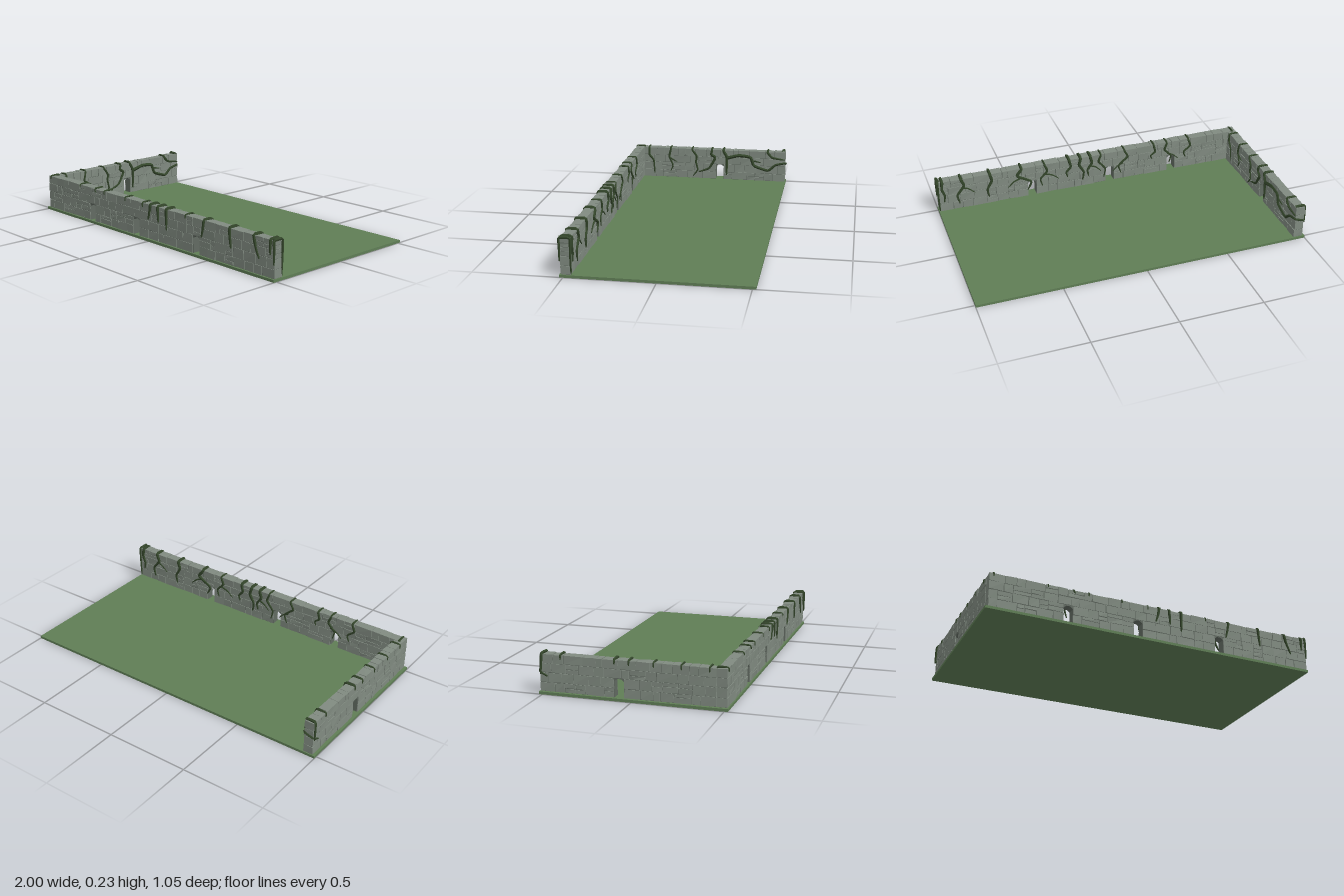
import * as THREE from 'three';
import { mergeGeometries } from 'three/addons/utils/BufferGeometryUtils.js';

const BASE = 0.015, TOP = 0.22, HALF = 0.028, DOOR = 0.027;
const ROWS = [BASE, 0.066, 0.12, 0.17, TOP];

let seed = 7;
const rand = () => (seed = (seed * 16807) % 2147483647) / 2147483647;
const spread = (a) => (rand() - 0.5) * 2 * a;

const material = (color) =>
  new THREE.MeshStandardMaterial({ color, flatShading: true, roughness: 0.9, side: THREE.DoubleSide });
const stone = material(0x808a80);
const mortar = material(0x626b62);
const vine = material(0x33452a);
const grass = material(0x5f7d55);

// One rough-hewn block: a box with its eight corners nudged
function block(x0, x1, y0, y1) {
  const g = new THREE.BoxGeometry(x1 - x0 - 0.003, y1 - y0 - 0.003, HALF * 2);
  const shifts = Array.from({ length: 8 }, () => [spread(0.0018), spread(0.0018), spread(0.002)]);
  const p = g.attributes.position;
  for (let i = 0; i < p.count; i++) {
    const k = (p.getX(i) > 0 ? 1 : 0) + (p.getY(i) > 0 ? 2 : 0) + (p.getZ(i) > 0 ? 4 : 0);
    const s = shifts[k];
    p.setXYZ(i, p.getX(i) + s[0], p.getY(i) + s[1], p.getZ(i) + s[2]);
  }
  g.translate((x0 + x1) / 2, (y0 + y1) / 2, 0);
  return g;
}

// Fill one stretch of a course with blocks of uneven width
function course(x0, x1, y0, y1, out) {
  const n = Math.max(1, Math.round((x1 - x0) / 0.075));
  const cuts = [x0];
  for (let i = 1; i < n; i++) cuts.push(x0 + ((x1 - x0) * (i + spread(0.3))) / n);
  cuts.push(x1);
  for (let i = 0; i < n; i++) {
    if (rand() < 0.22) {
      const mid = y0 + (y1 - y0) * (0.4 + rand() * 0.25);
      out.push(block(cuts[i], cuts[i + 1], y0, mid), block(cuts[i], cuts[i + 1], mid, y1));
    } else out.push(block(cuts[i], cuts[i + 1], y0, y1));
  }
}

// Wall along local x, with pointed doorways at the given centres
function wall(name, x0, x1, doors) {
  const group = new THREE.Group();
  group.name = name;

  // Recessed core seen in the joints and above the doorways
  const s = new THREE.Shape();
  s.moveTo(x0 + 0.004, BASE);
  for (const d of doors) {
    s.lineTo(d - DOOR, BASE);
    s.lineTo(d - DOOR, 0.103);
    s.lineTo(d - 0.01, 0.116);
    s.lineTo(d + 0.01, 0.116);
    s.lineTo(d + DOOR, 0.103);
    s.lineTo(d + DOOR, BASE);
  }
  s.lineTo(x1 - 0.004, BASE);
  s.lineTo(x1 - 0.004, TOP - 0.005);
  s.lineTo(x0 + 0.004, TOP - 0.005);
  const depth = (HALF - 0.004) * 2;
  const coreGeo = new THREE.ExtrudeGeometry(s, { depth, bevelEnabled: false });
  coreGeo.translate(0, 0, -depth / 2);
  const core = new THREE.Mesh(coreGeo, mortar);
  core.name = 'wallCore';

  const blocks = [];
  for (let r = 0; r < 4; r++) {
    const edges = [x0];
    if (r < 2) for (const d of doors) edges.push(d - DOOR, d + DOOR);
    edges.push(x1);
    for (let i = 0; i < edges.length; i += 2) course(edges[i], edges[i + 1], ROWS[r], ROWS[r + 1], blocks);
  }
  const stones = new THREE.Mesh(mergeGeometries(blocks), stone);
  stones.name = 'stoneBlocks';
  group.add(core, stones);
  return group;
}

// Tapered vine through a list of 3D points
function stem(points, radius, bothEnds) {
  const curve = new THREE.CatmullRomCurve3(points.map((p) => new THREE.Vector3(...p)), false, 'catmullrom', 0.25);
  const rings = points.length * 4, sides = 5;
  const g = new THREE.TubeGeometry(curve, rings, radius, sides, false);
  const p = g.attributes.position, v = new THREE.Vector3();
  for (let i = 0; i < p.count; i++) {
    const t = Math.floor(i / (sides + 1)) / rings;
    const end = bothEnds ? Math.min(t, 1 - t) * 2 : 1 - t;
    const c = curve.getPointAt(t);
    v.fromBufferAttribute(p, i).sub(c).multiplyScalar(0.35 + 0.75 * Math.sqrt(end)).add(c);
    p.setXYZ(i, v.x, v.y, v.z);
  }
  return g;
}

const onFace = (path, side) => path.map(([x, y]) => [x, y, side * (HALF + 0.002)]);

// Vine draped over the wall top, hanging on both faces
function drape(x, front, back, radius = 0.007) {
  const d = HALF + 0.002;
  return stem([
    ...onFace(back, -1).reverse(), [x, 0.212, -d], [x, 0.222, -d + 0.006],
    [x, 0.222, d - 0.006], [x, 0.212, d], ...onFace(front, 1),
  ], radius, true);
}

function addVines(group, geometries) {
  const mesh = new THREE.Mesh(mergeGeometries(geometries), vine);
  mesh.name = 'vines';
  group.add(mesh);
}

export function createModel() {
  const model = new THREE.Group();
  model.name = 'walledCourtyard';

  const ground = new THREE.Mesh(new THREE.BoxGeometry(2, BASE, 1.04), grass);
  ground.name = 'ground';
  ground.position.y = BASE / 2;
  model.add(ground);

  // Long wall along the front
  const front = wall('frontWall', -0.985, 0.997, [-0.53, -0.11, 0.405]);
  front.position.z = 0.484;
  // x, sideways drift and low point on the front, drift and low point on the back
  const hanging = [
    [-0.96, 0, 0.2, 0.02, 0.15], [-0.65, 0, 0.205, 0.03, 0.09], [-0.5, 0.01, 0.2, -0.03, 0.07],
    [-0.41, 0, 0.2, 0.02, 0.12], [-0.21, 0, 0.2, 0.04, 0.06], [-0.05, 0, 0.195, -0.03, 0.05],
    [0.02, -0.02, 0.13, 0.02, 0.08], [0.085, 0.005, 0.13, -0.02, 0.06], [0.16, 0, 0.1, 0.02, 0.1],
    [0.32, 0, 0.2, 0.03, 0.07], [0.47, -0.02, 0.12, -0.06, 0.06], [0.67, 0.01, 0.11, 0.02, 0.06],
    [0.85, 0.04, 0.1, 0.03, 0.05], [0.968, 0, 0.14, -0.01, 0.08],
  ];
  const frontVines = hanging.map(([x, df, yf, db, yb]) => drape(x,
    [[x + df * 0.4, (0.21 + yf) / 2], [x + df, yf]],
    [[x - db * 0.5, 0.17], [x + db, (0.17 + yb) / 2], [x + db * 0.6, yb]],
    yf < 0.15 ? 0.0095 : 0.007));
  // Side shoots on the inner face
  for (const [x, y, dx] of [[-0.5, 0.14, -0.08], [-0.2, 0.13, 0.07], [0.02, 0.15, -0.07], [0.32, 0.15, -0.09], [0.48, 0.15, 0.08], [0.85, 0.16, -0.08]])
    frontVines.push(stem(onFace([[x, y], [x + dx * 0.5, y - 0.015], [x + dx, y - 0.05]], -1), 0.005));
  // Vines wrapped around the free end
  frontVines.push(
    stem([[0.994, 0.222, 0.03], [0.996, 0.222, -0.026], [0.997, 0.2, -0.03], [0.997, 0.12, -0.029], [0.994, 0.02, -0.029]], 0.008),
    stem([[0.99, 0.222, -0.02], [0.994, 0.222, 0.03], [0.996, 0.17, 0.031], [0.996, 0.09, 0.032]], 0.008));
  addVines(front, frontVines);

  // Short side wall; its local +z is the courtyard face, local x is -z of the model
  const side = wall('sideWall', -0.455, 0.517, [0.07]);
  side.rotation.y = Math.PI / 2;
  side.position.x = -0.957;
  const short = (x) => [[x, 0.195]];
  const sideVines = [
    drape(-0.42, [[-0.42, 0.17], [-0.39, 0.13], [-0.383, 0.04]], short(-0.42)),
    drape(-0.27, [[-0.28, 0.16], [-0.255, 0.1], [-0.27, 0.06]], short(-0.27)),
    drape(-0.12, [[-0.09, 0.17], [-0.095, 0.13], [-0.083, 0.075], [-0.115, 0.03]], short(-0.12)),
    drape(0.015, [[0.01, 0.185], [0.038, 0.165], [-0.004, 0.09], [-0.075, 0.06]], short(0.015), 0.009),
    drape(0.095, [[0.117, 0.17], [0.117, 0.045]], short(0.095), 0.01),
    drape(0.397, [[0.43, 0.18], [0.515, 0.167]], short(0.397), 0.008),
    stem(onFace([[-0.28, 0.155], [-0.225, 0.125]], 1), 0.005),
    stem(onFace([[0.3, 0.155], [0.35, 0.143]], 1), 0.006),
    // Long creeper winding around the wall's far end
    stem([...onFace([[0.117, 0.165], [0.2, 0.187], [0.28, 0.178], [0.305, 0.12], [0.4, 0.09], [0.45, 0.13], [0.51, 0.145]], 1),
      [0.519, 0.143, 0.02], [0.519, 0.13, -0.02], [0.51, 0.12, -0.031], [0.47, 0.1, -0.032]], 0.011),
    stem([[0.5, 0.222, 0.028], [0.503, 0.224, -0.026], [0.505, 0.19, -0.032], [0.51, 0.11, -0.034]], 0.009),
  ];
  addVines(side, sideVines);

  model.add(front, side);
  return model;
}
